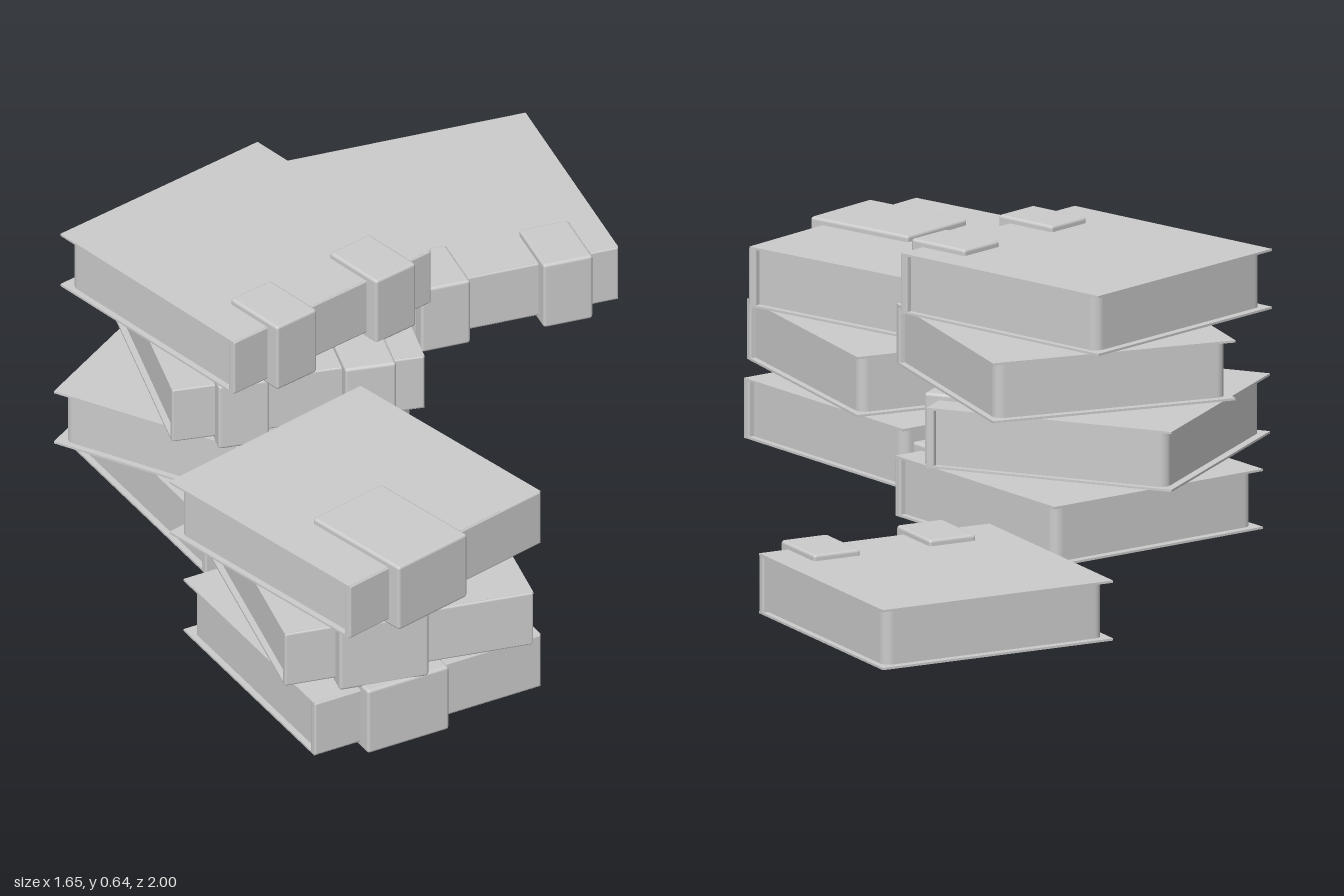
import * as THREE from 'three';
import { RoundedBoxGeometry } from 'three/addons/geometries/RoundedBoxGeometry.js';

const material = new THREE.MeshStandardMaterial({ color: 0xcccccc });

// Shared book dimensions
const W = 0.568, D = 0.577;          // cover width and depth
const BOTTOM = 0.014, TOP = 0.149;   // outer faces of the covers
const COVER = 0.005;                 // cover thickness
const BAND_H = 0.163;                // height of the bands around the spine
const PITCH = 0.158;                 // spacing of stacked books
const BAND_FRONT = 0.324;            // front face of the bands

function part(parent, name, geometry, x = 0, y = 0, z = 0) {
  const mesh = new THREE.Mesh(geometry, material);
  mesh.name = name;
  mesh.position.set(x, y, z);
  parent.add(mesh);
  return mesh;
}

// Page block with rounded vertical corners at the back
function pagesGeometry() {
  const x = W / 2 - 0.014, front = -D / 2 + 0.006, back = D / 2 - 0.018, r = 0.022;
  const s = new THREE.Shape();
  s.moveTo(-x, front);
  s.lineTo(x, front);
  s.lineTo(x, back - r);
  s.absarc(x - r, back - r, r, 0, Math.PI / 2, false);
  s.absarc(-x + r, back - r, r, Math.PI / 2, Math.PI, false);
  s.closePath();
  const h = TOP - BOTTOM - 2 * COVER;
  return new THREE.ExtrudeGeometry(s, { depth: h, bevelEnabled: false, curveSegments: 6 })
    .rotateX(-Math.PI / 2);
}

// bands: list of [centre x, width, depth]
function book(name, bands) {
  const g = new THREE.Group();
  g.name = name;
  const cover = new THREE.BoxGeometry(W, COVER, D);
  part(g, 'bottomCover', cover, 0, BOTTOM + COVER / 2, 0);
  part(g, 'topCover', cover, 0, TOP - COVER / 2, 0);
  part(g, 'pages', pagesGeometry(), 0, BOTTOM + COVER, 0);
  part(g, 'spine', new RoundedBoxGeometry(W, TOP - BOTTOM, 0.02, 2, 0.005),
    0, (TOP + BOTTOM) / 2, D / 2 - 0.007);
  for (const [x, w, d] of bands) {
    part(g, 'spineBand', new RoundedBoxGeometry(w, BAND_H, d, 2, 0.007),
      x, BAND_H / 2, BAND_FRONT - d / 2);
  }
  return g;
}

const TWO_BANDS = [[-0.13, 0.115, 0.157], [0.155, 0.115, 0.157]];
const WIDE_BAND = [[-0.067, 0.204, 0.277]];

// Each stack lists its books from the bottom up: [x, z, turn in degrees]
const STACKS = [
  { name: 'tallStack', bands: TWO_BANDS, books: [
    [-0.315, -0.11, 0], [-0.356, -0.125, 30.8], [-0.291, -0.094, -15.6], [-0.33, -0.117, 11.2]] },
  { name: 'shortStack', bands: WIDE_BAND, books: [
    [-0.47, 0.645, 0], [-0.454, 0.65, -12.3], [-0.487, 0.643, 13.2]] },
  { name: 'singleBook', bands: TWO_BANDS, books: [[0.497, -0.67, -9.1]] },
];

export function createModel() {
  const model = new THREE.Group();
  model.name = 'bookStacks';
  for (const { name, bands, books } of STACKS) {
    const stack = new THREE.Group();
    stack.name = name;
    books.forEach(([x, z, turn], level) => {
      const b = book('book' + (level + 1), bands);
      b.position.set(x, level * PITCH, z);
      b.rotation.y = THREE.MathUtils.degToRad(turn);
      stack.add(b);
    });
    model.add(stack);
  }
  return model;
}
